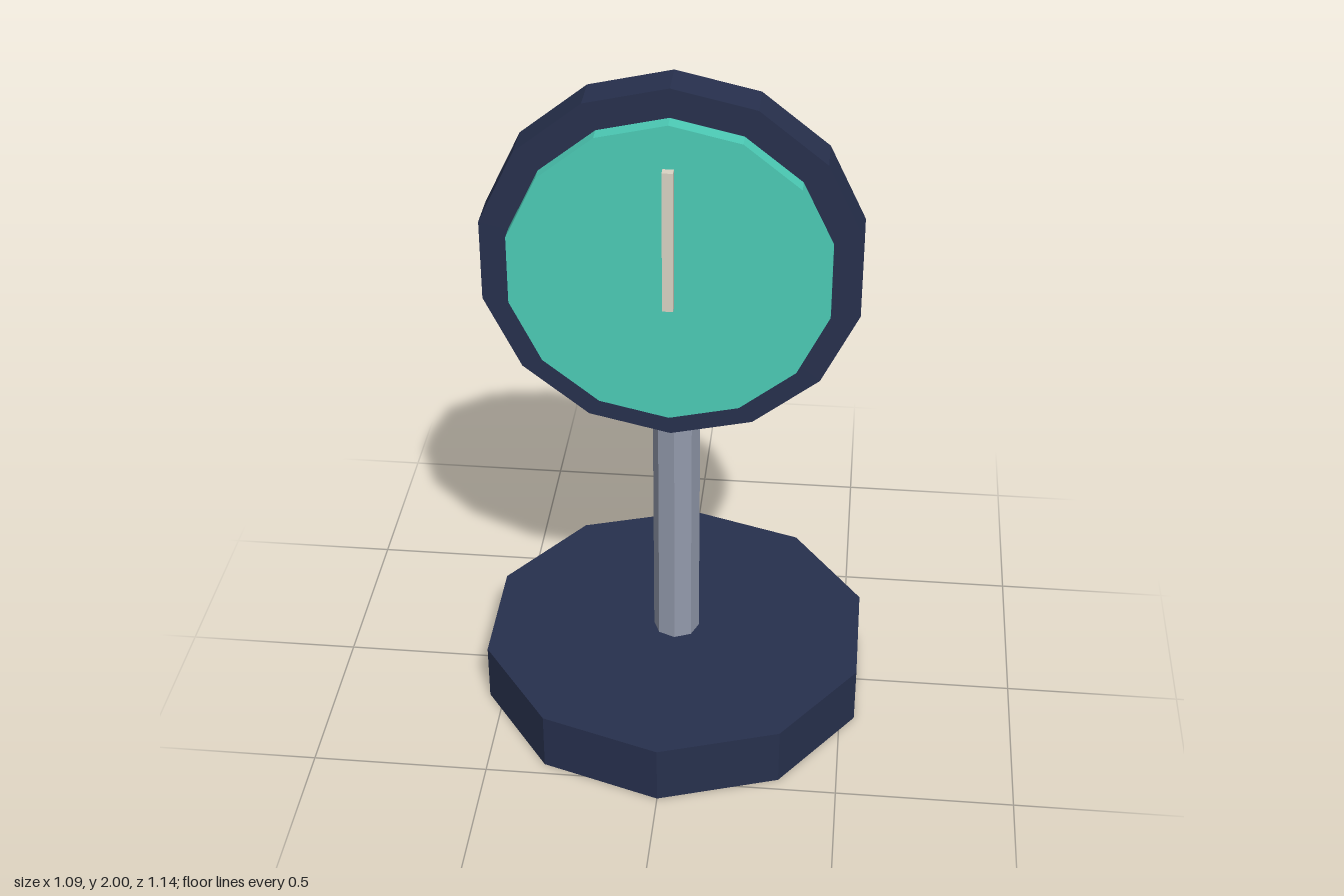
import * as THREE from 'three';

const paint = (color) => new THREE.MeshStandardMaterial({ color, flatShading: true });

export function createModel() {
  const model = new THREE.Group();
  const navy = paint(0x27304d);
  const grey = paint(0x9299ab);
  const teal = paint(0x4ccbb6);
  const cream = paint(0xd9d3c3);

  function add(name, geometry, material, x, y, z) {
    const mesh = new THREE.Mesh(geometry, material);
    mesh.name = name;
    mesh.position.set(x, y, z);
    model.add(mesh);
  }

  // Upright prism standing between two heights
  function upright(name, radius, bottom, top, sides, material) {
    const geometry = new THREE.CylinderGeometry(radius, radius, top - bottom, sides);
    add(name, geometry, material, 0, (bottom + top) / 2, 0);
  }

  // Disc facing forward between two depths
  const dialY = 1.4875;
  function disc(name, radius, back, front, material) {
    const geometry = new THREE.CylinderGeometry(radius, radius, front - back, 14).rotateX(Math.PI / 2);
    add(name, geometry, material, 0, dialY, (back + front) / 2);
  }

  // Ten-sided foot and eight-sided pole
  upright('base', 0.571, 0, 0.174, 10, navy);
  upright('post', 0.067, 0.174, 1.317, 8, grey);

  // Dial: dark housing, raised face and a single pointer
  disc('dialHousing', 0.5125, 0.058, 0.172, navy);
  disc('dialFace', 0.433, 0.172, 0.217, teal);
  add('pointer', new THREE.BoxGeometry(0.029, 0.4, 0.024), cream, 0, 1.6, 0.229);

  return model;
}
